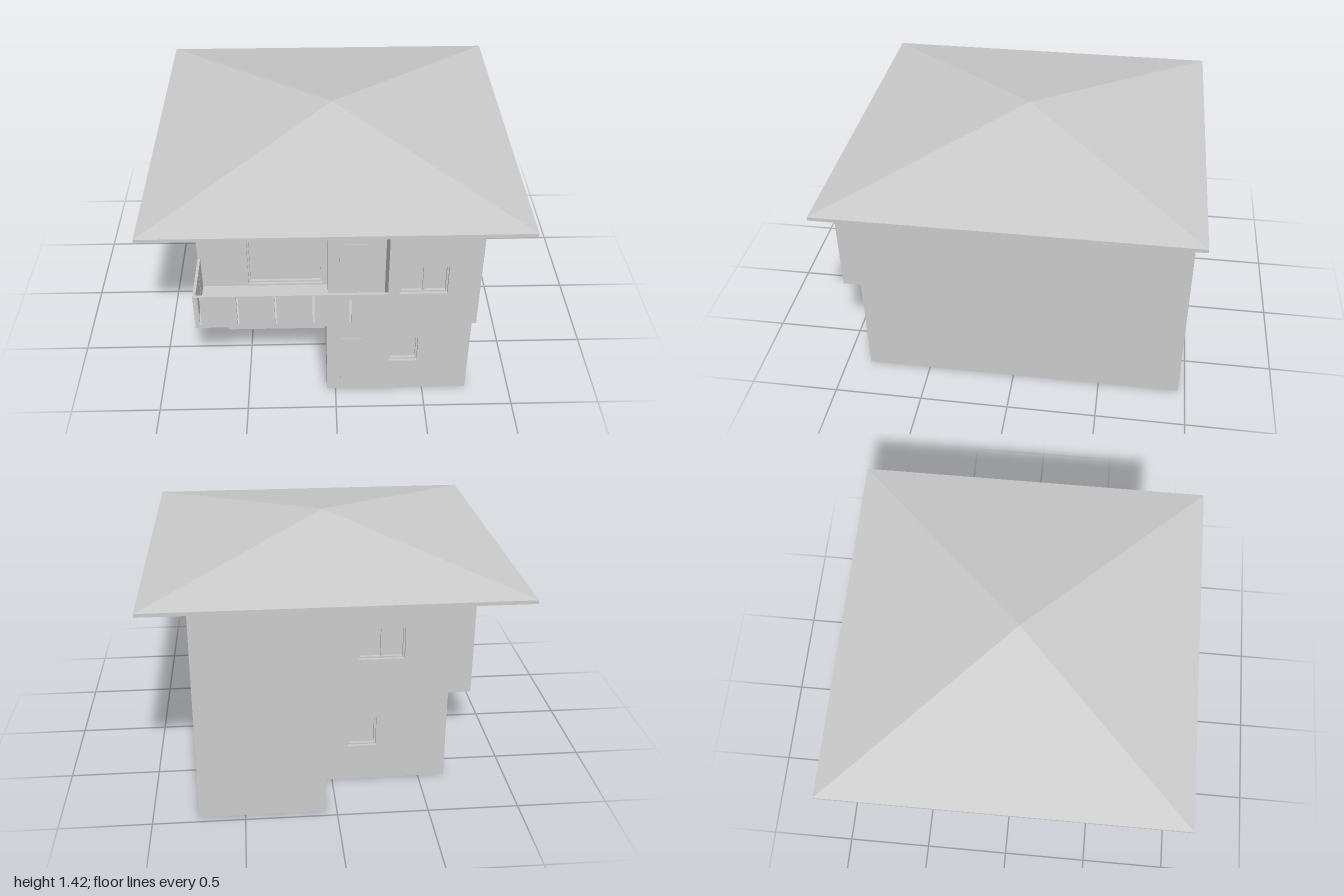
import * as THREE from 'three';

const plaster = new THREE.MeshStandardMaterial({ color: 0xcccccc });
plaster.name = 'lightGrey';

function mesh(name, geometry, parent) {
  const m = new THREE.Mesh(geometry, plaster);
  m.name = name;
  parent.add(m);
  return m;
}

// Rectangle in the wall plane, with rectangular holes [u0, u1, y0, y1]
function rectShape([u0, u1, y0, y1], holes = []) {
  const corners = (a, b, c, d) => [[a, c], [b, c], [b, d], [a, d]].map(p => new THREE.Vector2(...p));
  const shape = new THREE.Shape(corners(u0, u1, y0, y1));
  for (const h of holes) shape.holes.push(new THREE.Path(corners(...h)));
  return shape;
}

// Plate whose outer face sits at local z = face
function plate(name, rect, holes, depth, face, parent) {
  const g = new THREE.ExtrudeGeometry(rectShape(rect, holes), { depth, bevelEnabled: false });
  g.translate(0, 0, face - depth);
  return mesh(name, g, parent);
}

// Recessed frame with panes
function addWindow(name, [u0, u1, y0, y1], panes, parent) {
  const bar = 0.01, holes = [], w = (u1 - u0 - bar) / panes;
  for (let i = 0; i < panes; i++) {
    holes.push([u0 + bar + i * w, u0 + (i + 1) * w, y0 + bar, y1 - bar]);
  }
  plate(name + 'Frame', [u0, u1, y0, y1], holes, 0.015, -0.015, parent);
  plate(name + 'Pane', [u0, u1, y0, y1], [], 0.006, -0.03, parent);
}

// Wall between two plan points, running left to right as seen from outside
function addWall(name, [x1, z1], [x2, z2], y0, y1, openings, thickness, parent) {
  const wall = new THREE.Group();
  wall.name = name;
  wall.position.set(x1, 0, z1);
  wall.rotation.y = Math.atan2(z1 - z2, x2 - x1);
  const length = Math.hypot(x2 - x1, z2 - z1);
  const holes = openings.map(o => o.rect);
  plate(name + 'Panel', [0, length, y0, y1], holes, thickness, 0, wall);
  for (const o of openings) if (o.panes) addWindow(o.name || 'window', o.rect, o.panes, wall);
  parent.add(wall);
  return wall;
}

function addStorey(name, outline, y0, y1, openings, parent) {
  const storey = new THREE.Group();
  storey.name = name;
  const walls = outline.map((p, i) => addWall('wall', p, outline[(i + 1) % outline.length],
    y0, y1, openings[i] || [], 0.05, storey));
  parent.add(storey);
  return walls;
}

// Horizontal slab from a plan outline
function addSlab(name, outline, y, height, parent) {
  const shape = new THREE.Shape(outline.map(([x, z]) => new THREE.Vector2(x, -z)));
  const g = new THREE.ExtrudeGeometry(shape, { depth: height, bevelEnabled: false });
  g.rotateX(-Math.PI / 2);
  g.translate(0, y, 0);
  mesh(name, g, parent);
}

export function createModel() {
  const house = new THREE.Group();
  house.name = 'house';
  const low = (u0, u1, panes = 1) => ({ rect: [u0, u1, 0.22, 0.4], panes });
  const high = (u0, u1, panes = 1) => ({ rect: [u0, u1, 0.82, 1.0], panes });

  // Ground floor
  const ground = [[-0.65, 0.36], [-0.05, 0.36], [-0.05, 0.86], [0.75, 0.86],
    [0.75, -0.96], [0.06, -0.96], [0.06, -0.66], [-0.65, -0.66]];
  addSlab('groundSlab', ground, 0, 0.02, house);
  const lower = addStorey('groundFloor', ground, 0.02, 0.6, {
    0: [low(0.21, 0.45, 2)],
    2: [low(0.35, 0.51)],
    6: [low(0.15, 0.31)],
    7: [low(0.59, 0.75)],
  }, house);
  plate('frontDoor', [0.08, 0.23, 0.02, 0.405], [], 0.004, 0.003, lower[2]);

  // Upper floor slab, which also carries the balcony
  addSlab('upperSlab', [[-0.75, 0.96], [0.75, 0.96], [0.75, -0.96],
    [-0.045, -0.96], [-0.045, -0.76], [-0.75, -0.76]], 0.6, 0.02, house);

  // Upper floor
  const upperPlan = [[-0.75, 0.65], [-0.04, 0.65], [-0.04, 0.78], [0.27, 0.78], [0.27, 0.96],
    [0.75, 0.96], [0.75, -0.96], [-0.045, -0.96], [-0.045, -0.76], [-0.75, -0.76]];
  const upper = addStorey('upperFloor', upperPlan, 0.62, 1.226, {
    0: [{ rect: [0.27, 0.68, 0.63, 1.02], panes: 1, name: 'balconyDoor' }],
    4: [high(0.06, 0.31, 2)],
    8: [high(0.085, 0.335, 2)],
    9: [high(0.29, 0.45), high(0.69, 0.85), high(1.21, 1.37)],
  }, house);
  plate('sideDoor', [0.06, 0.21, 0.62, 1.01], [], 0.004, 0.003, upper[2]);

  // Balcony parapet with narrow slits
  const slit = u => ({ rect: [u - 0.005, u + 0.005, 0.625, 0.815] });
  addWall('balconyFront', [-0.75, 0.96], [0.27, 0.96], 0.62, 0.82,
    [0.03, 0.23, 0.43, 0.63, 0.825].map(slit), 0.015, house);
  addWall('balconySide', [-0.75, 0.65], [-0.75, 0.96], 0.62, 0.82, [slit(0.11)], 0.015, house);

  // Hollow hipped roof with a thin fascia
  const r = Math.SQRT2;
  const profile = [[0, 1.4], [r, 1.22], [r, 1.24], [0, 1.42]].map(p => new THREE.Vector2(...p));
  const roof = new THREE.LatheGeometry(profile, 4, Math.PI / 4).toNonIndexed();
  roof.computeVertexNormals();
  mesh('roof', roof, house);

  return house;
}
